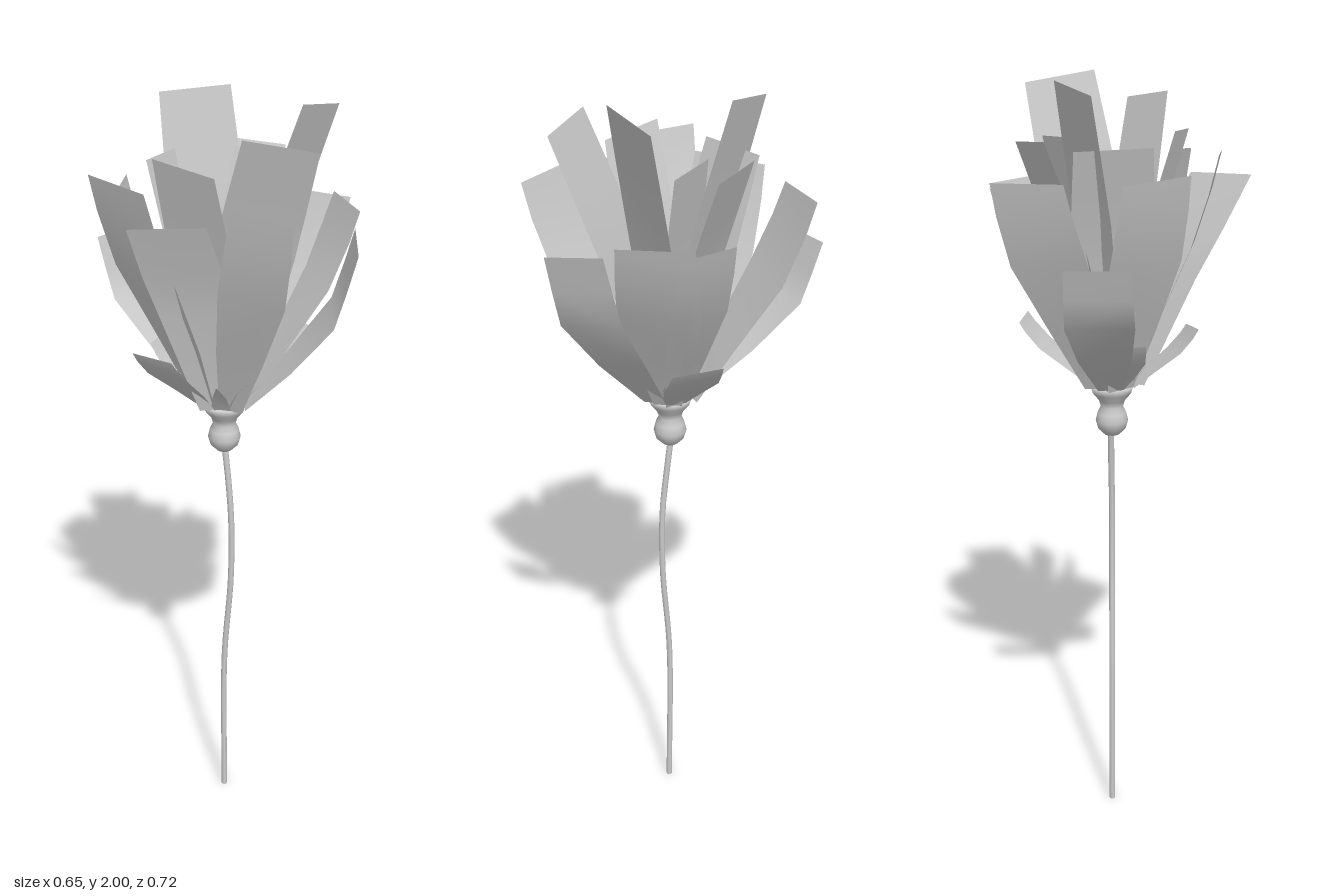
import * as THREE from 'three';

const CX = 0.012, CZ = 0.01, BASE_Y = 1.235;
const matte = new THREE.MeshStandardMaterial({ color: 0xcccccc });
const thin = new THREE.MeshStandardMaterial({ color: 0xcccccc, side: THREE.DoubleSide });

// petal kinds: root distance from the axis, rows of [height share, outward share, width share]
const INNER = { root: 0.02, rows: [[0, 0, 0.35], [0.3, 0.2, 0.95], [0.6, 0.5, 1.1], [0.8, 0.75, 1.06], [1, 1, 1]] };
const OUTER = { root: 0.055, rows: [[0, 0, 0.4], [0.3, 0.32, 0.8], [0.62, 0.7, 1.1], [0.85, 0.9, 1.05], [1, 1, 1]] };
const STRAIGHT = { root: 0.055, rows: [[0, 0, 0.4], [0.52, 0.4, 0.95], [0.75, 0.67, 1.05], [1, 1, 1]] };
const BENT = { root: 0.055, rows: [[0, 0, 0.4], [0.3, 0.43, 0.85], [0.6, 0.81, 1.08], [0.8, 0.91, 1.04], [1, 1, 1]] };
const SPIKE = { root: 0.05, rows: [[0, 0, 1], [0.5, 0.4, 0.7], [1, 1, 0.05]] };

// a curved strip from the cup up to the tip edge a-b
function petal(name, a, b, kind) {
  const A = new THREE.Vector3(...a), B = new THREE.Vector3(...b);
  const tip = A.clone().add(B).multiplyScalar(0.5);
  const edge = B.sub(A);
  const out = new THREE.Vector3(tip.x - CX, 0, tip.z - CZ).normalize();
  const root = new THREE.Vector3(CX, BASE_Y, CZ).addScaledVector(out, kind.root);
  const pos = [], index = [];
  kind.rows.forEach(([h, o, w], i) => {
    const x = THREE.MathUtils.lerp(root.x, tip.x, o);
    const y = THREE.MathUtils.lerp(root.y, tip.y, h);
    const z = THREE.MathUtils.lerp(root.z, tip.z, o);
    for (const s of [-0.5, 0.5]) pos.push(x + edge.x * w * s, y + edge.y * w * s, z + edge.z * w * s);
    if (i) {
      const k = i * 2;
      index.push(k - 2, k - 1, k, k - 1, k + 1, k);
    }
  });
  const g = new THREE.BufferGeometry();
  g.setAttribute('position', new THREE.Float32BufferAttribute(pos, 3));
  g.setIndex(index);
  g.computeVertexNormals();
  const mesh = new THREE.Mesh(g, thin);
  mesh.name = name;
  return mesh;
}

export function createModel() {
  const model = new THREE.Group();

  // gently bowed stem
  const path = new THREE.CatmullRomCurve3([
    [0.012, 0, 0.013], [0.012, 0.45, 0.012], [0.012, 0.72, 0.033],
    [0.012, 0.9, 0.033], [0.014, 1.03, 0.02], [0.014, 1.12, 0.008],
  ].map(p => new THREE.Vector3(...p)));
  const stem = new THREE.Mesh(new THREE.TubeGeometry(path, 24, 0.008, 8), matte);
  stem.name = 'stem';
  model.add(stem);

  // bulb with a flared cup above it
  const profile = [[0, 1.098], [0.02, 1.103], [0.036, 1.119], [0.042, 1.14], [0.037, 1.161],
    [0.029, 1.178], [0.034, 1.195], [0.05, 1.215], [0.057, 1.235], [0, 1.24]];
  const cup = new THREE.Mesh(
    new THREE.LatheGeometry(profile.map(p => new THREE.Vector2(...p)), 24), matte);
  cup.position.set(CX, 0, CZ);
  cup.name = 'bulbAndCup';
  model.add(cup);

  // petals, given by the two corners of the tip
  const petals = new THREE.Group();
  petals.name = 'petals';
  const addAll = (name, kind, tips) => tips.forEach(([a, b]) => petals.add(petal(name, a, b, kind)));

  addAll('innerPetal', INNER, [
    [[0.055, 2.0, 0.195], [0.228, 1.97, 0.182]],
    [[0.058, 1.973, -0.222], [0.146, 1.995, -0.073]],
    [[-0.03, 1.925, 0.3], [-0.128, 1.952, 0.16]],
    [[-0.17, 1.885, -0.06], [-0.145, 1.86, 0.097]],
    [[-0.085, 1.85, -0.148], [0.1, 1.845, -0.18]],
    [[0.17, 1.86, -0.12], [0.245, 1.845, 0.022]],
    [[0.11, 1.86, -0.034], [0.183, 1.85, 0.098]],
  ]);
  addAll('outerPetal', OUTER, [
    [[-0.15, 1.79, 0.316], [-0.19, 1.81, 0.172]],
    [[-0.232, 1.84, -0.2], [-0.253, 1.83, -0.018]],
    [[-0.013, 1.78, -0.272], [-0.172, 1.79, -0.17]],
    [[0.122, 1.78, -0.24], [0.291, 1.78, -0.213]],
    [[0.325, 1.72, 0.165], [0.306, 1.72, 0.01]],
    [[0.209, 1.73, 0.264], [0.316, 1.73, 0.122]],
  ]);
  addAll('straightPetal', STRAIGHT, [[[-0.326, 1.77, -0.01], [-0.186, 1.76, 0.105]]]);
  addAll('bentPetal', BENT, [
    [[-0.03, 1.607, -0.36], [0.122, 1.607, -0.36]],
    [[0.052, 1.68, 0.36], [0.174, 1.7, 0.274]],
  ]);
  addAll('shortPetal', OUTER, [
    [[0.245, 1.4, 0], [0.23, 1.4, 0.13]],
    [[-0.2, 1.41, -0.11], [-0.175, 1.4, -0.01]],
    [[-0.07, 1.38, -0.16], [0.04, 1.38, -0.19]],
  ]);
  model.add(petals);

  // small pointed sepals round the cup
  const sepals = new THREE.Group();
  sepals.name = 'sepals';
  for (let i = 0; i < 9; i++) {
    const t = i / 9 * Math.PI * 2 + 0.3, r = 0.1 + 0.02 * (i % 3);
    const x = CX + r * Math.sin(t), z = CZ + r * Math.cos(t), y = 1.3 + 0.025 * (i % 3);
    const dx = 0.025 * Math.cos(t), dz = -0.025 * Math.sin(t);
    sepals.add(petal('sepal', [x - dx, y, z - dz], [x + dx, y, z + dz], SPIKE));
  }
  model.add(sepals);
  return model;
}
